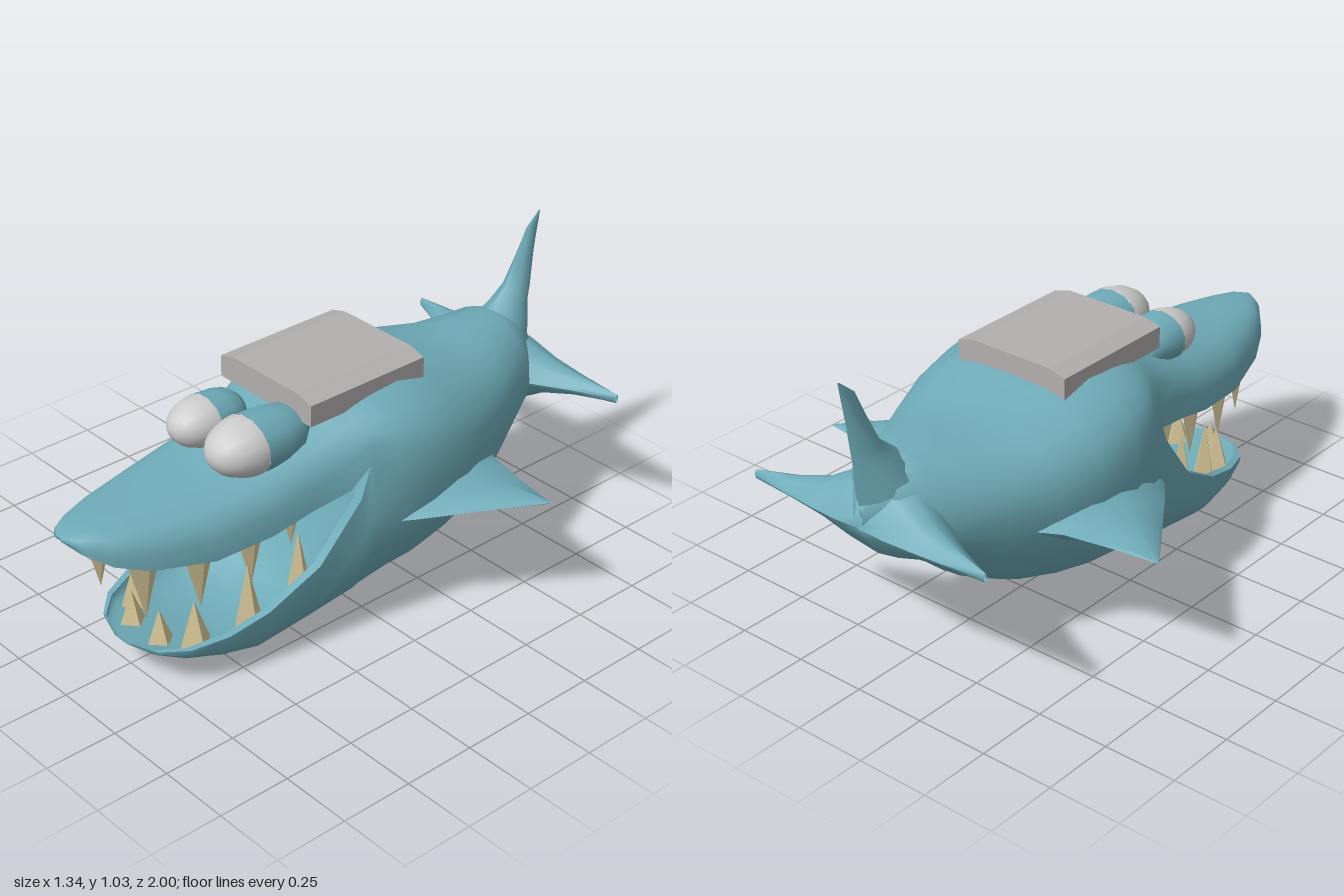
import * as THREE from 'three';
import { toCreasedNormals } from 'three/addons/utils/BufferGeometryUtils.js';

const mat = (color) => new THREE.MeshStandardMaterial({ color, roughness: 0.8 });
const N = 12; // segments across half a section

// Half-section arc from one side to the other; dir +1 runs over the top, -1 under the bottom
function arc(z, w, ySide, yEnd, power, bulge, dir) {
  const pts = [];
  for (let i = 0; i <= N; i++) {
    const a = (i / N) * Math.PI;
    const c = i === N / 2 ? 0 : Math.cos(a), s = Math.sin(a), k = Math.abs(c);
    const x = dir * Math.sign(c) * (w * k ** power + bulge * 2 * k * s);
    pts.push([x, ySide + (yEnd - ySide) * (i % N ? s ** power : 0), z]);
  }
  return pts;
}

// Skin closed rings of equal size, ordered along the loft
function loft(rings) {
  const n = rings[0].length, index = [];
  for (let i = 0; i < rings.length - 1; i++) {
    for (let j = 0; j < n; j++) {
      const a = i * n + j, b = i * n + (j + 1) % n;
      index.push(a, b, a + n, b, b + n, a + n);
    }
  }
  const g = new THREE.BufferGeometry();
  g.setAttribute('position', new THREE.Float32BufferAttribute(rings.flat(2), 3));
  g.setIndex(index);
  return g;
}

// Join skins so that normals run smoothly over the seams
function joinSmooth(parts) {
  const pos = parts.flatMap((g) => Array.from(g.toNonIndexed().attributes.position.array));
  const g = new THREE.BufferGeometry();
  g.setAttribute('position', new THREE.Float32BufferAttribute(pos, 3));
  return toCreasedNormals(g, 1.0);
}

// Upright fin from rows of: height, back z, front z, half thickness
function fin(rows) {
  return loft(rows.map(([y, back, front, t]) => Array.from({ length: 12 }, (_, i) => {
    const a = (i / 12) * Math.PI * 2, c = Math.cos(a);
    return [t * c * Math.abs(c), y, (back + front) / 2 - ((front - back) / 2) * Math.sin(a)];
  })));
}

function bodyGeometry() {
  // Trunk: z, half width, side height, top, bottom, bulge under the side line, upper roundness
  const trunk = [
    [-0.945, 0.015, 0.57, 0.60, 0.54, 0, 1],
    [-0.87, 0.12, 0.56, 0.71, 0.475, 0, 1.1],
    [-0.77, 0.205, 0.54, 0.735, 0.375, 0, 1.05],
    [-0.6, 0.28, 0.51, 0.715, 0.225, 0, 0.95],
    [-0.45, 0.35, 0.50, 0.73, 0.145, 0, 0.85],
    [-0.3, 0.40, 0.50, 0.765, 0.10, 0, 0.75],
    [-0.15, 0.415, 0.52, 0.80, 0.06, 0, 0.72],
    [-0.03, 0.385, 0.57, 0.79, 0.045, 0.03, 0.72],
    [0.06, 0.33, 0.61, 0.775, 0.03, 0.075, 0.72],
  ].map(([z, w, y, top, bottom, b, p]) => [
    ...arc(z, w, y, top, p, 0, 1).slice(0, N),
    ...arc(z, w, y, bottom, 0.95, b, -1).slice(0, N),
  ]);
  // Upper jaw: z, half width, lip, top, palate
  const upper = [
    [0.06, 0.33, 0.61, 0.775, 0.61],
    [0.12, 0.305, 0.53, 0.755, 0.56],
    [0.25, 0.28, 0.50, 0.70, 0.52],
    [0.4, 0.265, 0.465, 0.65, 0.49],
    [0.6, 0.24, 0.45, 0.622, 0.475],
    [0.8, 0.18, 0.472, 0.612, 0.485],
    [0.9, 0.13, 0.505, 0.605, 0.51],
    [0.97, 0.07, 0.55, 0.60, 0.553],
    [1.0, 0.012, 0.58, 0.592, 0.583],
  ].map(([z, w, y, top, palate]) => [
    ...arc(z, w, y, top, 0.72, 0, 1),
    ...arc(z, w * 0.88, y, palate, 0.72, 0, 1).reverse(),
  ]);
  // Lower jaw: z, half width, lip, bottom, floor, bulge, roundness
  const lower = [
    [0.06, 0.33, 0.61, 0.03, 0.61, 0.075, 0.95],
    [0.1, 0.33, 0.50, 0.025, 0.34, 0.05, 0.9],
    [0.25, 0.31, 0.31, 0.006, 0.13, 0.01, 0.85],
    [0.43, 0.28, 0.205, 0.002, 0.08, 0, 0.7],
    [0.57, 0.255, 0.165, 0.04, 0.09, 0, 0.7],
    [0.69, 0.21, 0.145, 0.083, 0.11, 0, 0.7],
    [0.76, 0.14, 0.135, 0.107, 0.12, 0, 0.7],
    [0.795, 0.04, 0.13, 0.122, 0.126, 0, 0.7],
  ].map(([z, w, y, bottom, floor, b, p]) => [
    ...arc(z, w, y, bottom, p, b, -1),
    ...arc(z, w * 0.9, y, floor, p, 0, -1).reverse(),
  ]);
  return joinSmooth([loft(trunk), loft(upper), loft(lower)]);
}

export function createModel() {
  const model = new THREE.Group();
  model.name = 'toothyFish';
  const fish = new THREE.Group();
  fish.name = 'fish';
  fish.position.x = 0.02;
  model.add(fish);

  const skin = mat(0x6eabb8), ivory = mat(0xd9c99a), white = mat(0xcccccc), slab = mat(0xb2afae);
  skin.side = THREE.DoubleSide;
  const add = (name, geometry, material) => {
    const mesh = new THREE.Mesh(geometry, material);
    mesh.name = name;
    fish.add(mesh);
    return mesh;
  };

  add('body', bodyGeometry(), skin);

  // Fins, thick at the root so they flow out of the body
  const sideFin = [[0.27, -0.53, 0.1, 0.13], [0.36, -0.47, 0.03, 0.08], [0.43, -0.455, -0.06, 0.045],
    [0.52, -0.435, -0.19, 0.028], [0.67, -0.412, -0.404, 0.003]];
  const tailFin = [[0, -0.95, -0.64, 0.16], [0.1, -0.955, -0.69, 0.12], [0.2, -0.95, -0.77, 0.065],
    [0.32, -0.94, -0.84, 0.035], [0.465, -0.922, -0.908, 0.016]];
  const topFin = [[0.53, -0.93, -0.62, 0.14], [0.67, -0.95, -0.7, 0.1], [0.74, -0.955, -0.785, 0.06],
    [0.79, -0.962, -0.845, 0.045], [0.88, -0.975, -0.89, 0.028], [0.98, -0.992, -0.935, 0.01],
    [1.03, -1, -0.993, 0.002]];
  for (const s of [1, -1]) {
    const side = s > 0 ? 'left' : 'right';
    const sideways = (rows) => fin(rows).rotateZ(-s * Math.PI / 2);
    const pitched = sideways(sideFin).translate(0, 0, 0.41).rotateX(0.09).translate(-0.02, 0.43, -0.41);
    add(side + 'SideFin', joinSmooth([pitched]), skin);
    add(side + 'TailFin', joinSmooth([sideways(tailFin).translate(0, 0.535, 0)]), skin);
  }
  add('upperTailFin', joinSmooth([fin(topFin)]), skin);

  // Eyes: front half ball, and a long rounded lid behind; x, y, radii, ball length, lid length
  for (const [side, x, y, rx, ry, front, lid] of [
    ['left', 0.104, 0.705, 0.112, 0.095, 0.145, 0.22],
    ['right', -0.104, 0.702, 0.096, 0.083, 0.13, 0.14],
  ]) {
    const ballShape = new THREE.SphereGeometry(1, 14, 7, 0, Math.PI * 2, 0, Math.PI / 2);
    const ball = add(side + 'Eyeball', ballShape.rotateX(Math.PI / 2), white);
    ball.scale.set(rx, ry, front);
    const profile = [[1, 0], [0.96, 0.4], [0.82, 0.72], [0.55, 0.92], [0, 1]].map((p) => new THREE.Vector2(...p));
    const cover = add(side + 'Eyelid', new THREE.LatheGeometry(profile, 14).rotateX(-Math.PI / 2), skin);
    cover.scale.set(rx, ry, lid);
    for (const m of [ball, cover]) m.position.set(x, y, 0.365);
  }

  // Slab on the back, with its upper edges bevelled
  const outline = new THREE.Shape([
    [-0.215, 0.75], [0.215, 0.75], [0.215, 0.823], [0.155, 0.84], [-0.155, 0.84], [-0.215, 0.823],
  ].map(([x, y]) => new THREE.Vector2(x, y)));
  add('backSlab', new THREE.ExtrudeGeometry(outline, { depth: 0.47, bevelEnabled: false }).translate(0, 0, -0.265), slab);

  // Teeth: x, z, base height, tip height, radius
  const teeth = {
    upper: [[0.115, 0.78, 0.49, 0.26, 0.065], [0.165, 0.61, 0.475, 0.25, 0.065],
      [0.185, 0.425, 0.495, 0.26, 0.065], [0.2, 0.275, 0.53, 0.35, 0.055]],
    lower: [[0.07, 0.7, 0.11, 0.23, 0.05], [0.15, 0.625, 0.11, 0.27, 0.06],
      [0.215, 0.465, 0.15, 0.37, 0.055], [0.25, 0.29, 0.2, 0.43, 0.055]],
  };
  for (const [jaw, list] of Object.entries(teeth)) {
    for (const [x, z, base, tip, r] of list) {
      for (const s of [1, -1]) {
        const cone = new THREE.ConeGeometry(r, Math.abs(tip - base), 4).toNonIndexed();
        cone.computeVertexNormals();
        const tooth = add(jaw + 'Tooth', cone, ivory);
        tooth.position.set(s * x, (base + tip) / 2, z);
        tooth.scale.x = jaw === 'upper' ? 0.5 : 0.8;
        if (tip < base) tooth.rotation.x = Math.PI;
      }
    }
  }
  return model;
}
